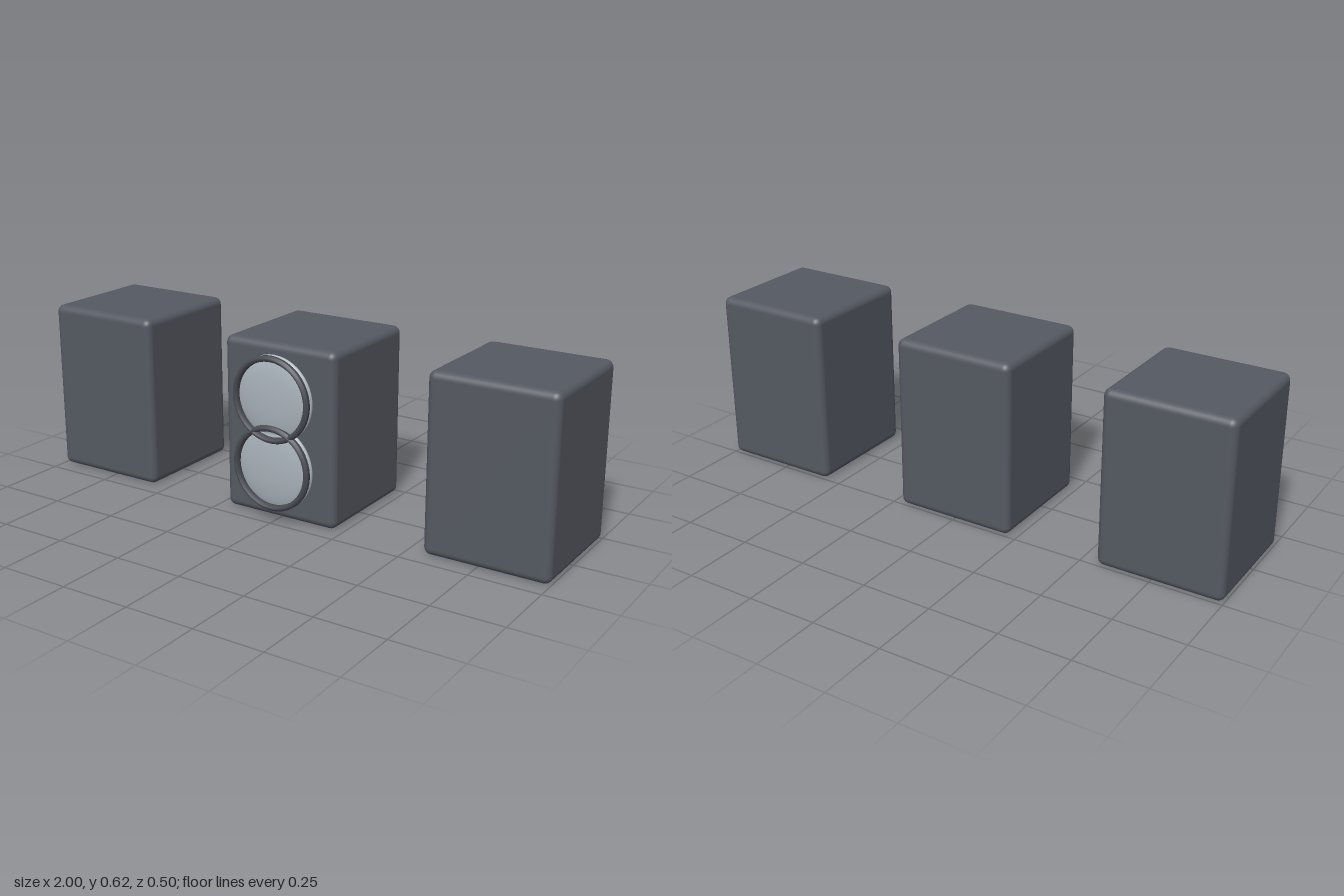
import * as THREE from 'three';
import { RoundedBoxGeometry } from 'three/addons/geometries/RoundedBoxGeometry.js';

export function createModel() {
  const group = new THREE.Group();
  const cabinetGrey = new THREE.MeshStandardMaterial({ name: 'cabinetGrey', color: 0x555962 });
  const ringGrey = new THREE.MeshStandardMaterial({ name: 'ringGrey', color: 0x484b52 });
  const coneSilver = new THREE.MeshStandardMaterial({ name: 'coneSilver', color: 0xa9b2ba });

  const add = (name, geometry, material, x, y, z) => {
    const mesh = new THREE.Mesh(geometry, material);
    mesh.name = name;
    mesh.position.set(x, y, z);
    group.add(mesh);
  };

  // Three matching cabinets with softly rounded edges
  const cabinet = new RoundedBoxGeometry(0.444, 0.622, 0.444, 4, 0.026);
  [['rightCabinet', -0.778], ['centreCabinet', 0], ['leftCabinet', 0.778]].forEach(([name, x]) =>
    add(name, cabinet, cabinetGrey, x, 0.311, -0.028));

  // Flattened dome of a driver
  const dome = new THREE.SphereGeometry(0.151, 48, 24).rotateX(Math.PI / 2).scale(1, 1, 0.027 / 0.151);

  // Driver rim: bevelled oval section swept round the axis
  const section = [];
  for (let i = 0; i <= 8; i++) {
    const a = Math.PI / 8 + (i * Math.PI) / 4;
    section.push(new THREE.Vector2(0.142 + 0.0108 * Math.cos(a), 0.0141 * Math.sin(a)));
  }
  const rim = new THREE.LatheGeometry(section, 64).rotateX(Math.PI / 2);
  ringGrey.side = THREE.DoubleSide;

  // Two overlapping drivers on the centre cabinet
  [['upper', 0.44], ['lower', 0.197]].forEach(([name, y]) => {
    add(name + 'Dome', dome, coneSilver, 0, y, 0.217);
    add(name + 'Rim', rim, ringGrey, 0, y, 0.239);
  });

  return group;
}
